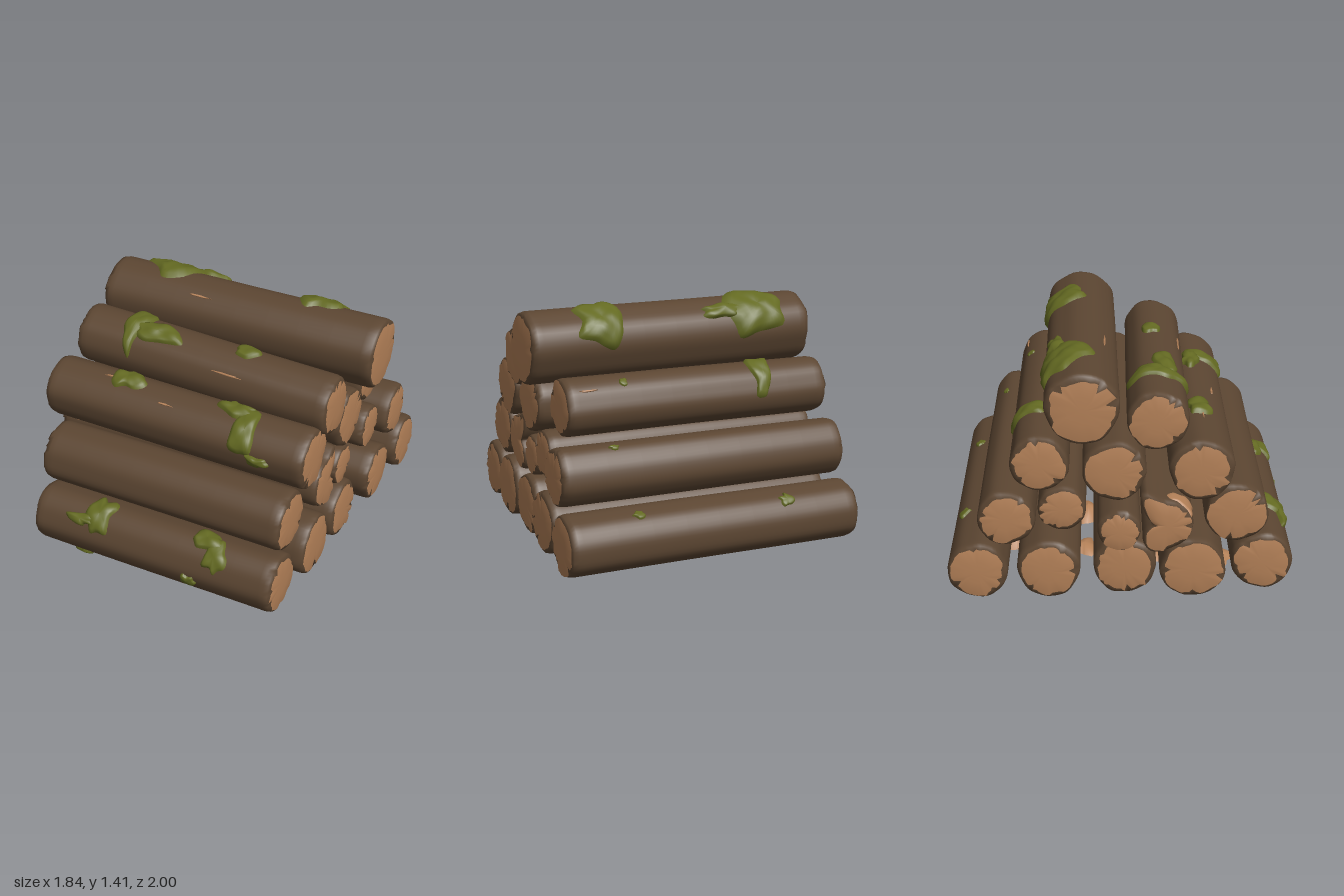
import * as THREE from 'three';

const bark = new THREE.MeshStandardMaterial({ color: 0x5c4632 });
const wood = new THREE.MeshStandardMaterial({ color: 0xb48158 });
const moss = new THREE.MeshStandardMaterial({ color: 0x646a22 });
bark.name = 'bark'; wood.name = 'cut wood'; moss.name = 'moss';

const RAD = Math.PI / 180;

function seeded(seed) {
  let s = seed * 7919 + 17;
  return () => (s = (s * 16807) % 2147483647) / 2147483647;
}

// each log: centre z, centre y, radius, left end x, right end x
const LOGS = [
  [0.81, 0.185, 0.177, -0.77, 0.785],
  [0.405, 0.185, 0.188, -0.84, 0.82],
  [0.015, 0.18, 0.18, -0.8, 0.83],
  [-0.415, 0.195, 0.18, -0.86, 0.88],
  [-0.82, 0.185, 0.172, -0.855, 0.908],
  [0.65, 0.51, 0.18, -0.78, 0.765],
  [0.25, 0.52, 0.15, -0.92, 0.8],
  [-0.015, 0.48, 0.122, -0.92, 0.8],
  [-0.335, 0.575, 0.135, -0.83, 0.84],
  [-0.65, 0.525, 0.163, -0.855, 0.89],
  [0.44, 0.82, 0.18, -0.875, 0.8],
  [-0.04, 0.81, 0.178, -0.84, 0.82],
  [-0.455, 0.86, 0.164, -0.84, 0.78],
  [0.205, 1.065, 0.172, -0.79, 0.825],
  [-0.225, 1.175, 0.207, -0.83, 0.92],
].map(([z, y, r, x0, x1], id) => ({ id, z, y, r, x0, x1, dy: 0, dz: 0 }));
const SPLIT = 6;

// the upper logs lie slightly askew
LOGS[10].dy = -0.012;
Object.assign(LOGS[13], { dy: -0.035, dz: 0.01 });
Object.assign(LOGS[14], { dy: -0.008, dz: -0.012 });

// radius at an angle measured from straight up towards +z
function radiusAt(log, x, a) {
  if (log.id === SPLIT) {
    // hollow on the back face between two sharp ridges
    const swell = (at, width) => {
      const d = ((a / RAD - at + 900) % 360) - 180;
      return Math.exp(-((d / width) ** 2));
    };
    return 0.147 - 0.07 * swell(-88, 22) + 0.085 * swell(-36, 17) + 0.048 * swell(-150, 28);
  }
  const p = log.id * 1.7;
  return log.r * (1 + 0.018 * Math.sin(3 * a + p) + 0.014 * Math.sin(5 * a - p)
    + 0.008 * Math.sin(9 * a + 2 * p) + 0.006 * Math.sin(4 * x + p + a));
}

function pointOn(log, x, a, scale = 1, lift = 0, floor = 0.01) {
  const r = radiusAt(log, x, a) * scale + lift;
  return [x, Math.max(floor, log.y + log.dy * x + r * Math.cos(a)), log.z + log.dz * x + r * Math.sin(a)];
}

function build(positions, index) {
  const g = new THREE.BufferGeometry();
  g.setAttribute('position', new THREE.Float32BufferAttribute(positions, 3));
  g.setIndex(index);
  g.computeVertexNormals();
  return g;
}

// log skinned from the left end centre to the right end centre, with ragged bark round the cut
function makeLog(log) {
  const N = 48, rnd = seeded(log.id + 3);
  const ragged = () => {
    const edge = [];
    let v = 0.88;
    for (let j = 0; j < N; j++) {
      if (rnd() < 0.35) v = 0.8 + rnd() * 0.15;
      edge.push(v + (rnd() - 0.5) * 0.03);
    }
    for (let k = 0; k < 3; k++) edge[Math.floor(rnd() * N)] = 0.6 + rnd() * 0.15;
    return edge;
  };
  const end = (x, s) => {
    const e = ragged();
    return [
      { x: x + s * 0.002, f: () => 0 }, { x: x + s * 0.002, f: () => 0.4 },
      { x: x - s * 0.003, f: j => e[j] }, { x: x - s * 0.014, f: () => 0.965 }, { x: x - s * 0.04, f: () => 1 },
    ];
  };
  const mids = [];
  for (let i = 0; i <= 8; i++) mids.push({ x: THREE.MathUtils.lerp(log.x0 + 0.07, log.x1 - 0.07, i / 8), f: () => 1 });
  const rings = [...end(log.x0, -1), ...mids, ...end(log.x1, 1).reverse()];
  const pos = [], barkIdx = [], woodIdx = [];
  rings.forEach((ring, i) => {
    for (let j = 0; j < N; j++) pos.push(...pointOn(log, ring.x, (j / N) * 2 * Math.PI, ring.f(j)));
    if (!i) return;
    const target = i <= 2 || i >= rings.length - 2 ? woodIdx : barkIdx;
    for (let j = 0; j < N; j++) {
      const a = (i - 1) * N + j, b = (i - 1) * N + (j + 1) % N;
      target.push(a, b, a + N, b, b + N, a + N);
    }
  });
  const g = build(pos, [...barkIdx, ...woodIdx]);
  g.addGroup(0, barkIdx.length, 0);
  g.addGroup(barkIdx.length, woodIdx.length, 1);
  const mesh = new THREE.Mesh(g, [bark, wood]);
  mesh.name = log.id === SPLIT ? 'splitLog' : 'log';
  return mesh;
}

// raised ragged patch wrapped over a log: centre x and angle, half length and half angle in degrees
function makePatch([id, x, angle, w, h], height, material, name) {
  const log = LOGS[id], N = 44, R = 7, LOBES = 13;
  const rnd = seeded(id * 31 + Math.round((x + 1) * 100));
  const lobes = [];
  for (let k = 0; k < LOBES; k++) {
    const t = (-k / LOBES) * 2 * Math.PI, m = 0.7 + rnd() * 0.5;
    lobes.push(new THREE.Vector3(w * m * Math.cos(t), h * RAD * m * Math.sin(t), 0));
  }
  const rim = new THREE.CatmullRomCurve3(lobes, true).getPoints(N);
  const pos = [], idx = [];
  for (let i = 0; i <= R; i++) {
    const t = i / R;
    for (let j = 0; j < N; j++) {
      const u = x + rim[j].x * t, a = angle * RAD + rim[j].y * t;
      const bump = 0.8 + 0.2 * Math.sin(u * 45 + id) * Math.cos(a * 9);
      const lift = i === R ? -0.004 : 0.004 + height * bump * Math.sqrt(1 - t * t);
      pos.push(...pointOn(log, u, a, 1, lift, 0.001));
      if (i) {
        const p = (i - 1) * N + j, q = (i - 1) * N + (j + 1) % N;
        idx.push(p, p + N, q, q, p + N, q + N);
      }
    }
  }
  const mesh = new THREE.Mesh(build(pos, idx), material);
  mesh.name = name;
  return mesh;
}

// moss: log, x, angle, half length, half angle
const MOSS = [
  [14, -0.5, -40, 0.19, 60], [14, -0.28, -45, 0.14, 15], [14, 0.49, -42, 0.15, 58],
  [13, -0.45, 5, 0.085, 72], [13, -0.29, 18, 0.18, 26], [13, 0.26, -5, 0.075, 21],
  [10, -0.39, 3, 0.11, 25], [10, 0.31, 0, 0.12, 20], [10, 0.42, 38, 0.08, 55], [10, 0.52, 88, 0.08, 11],
  [0, -0.34, 32, 0.085, 40], [0, -0.45, 50, 0.1, 12], [0, 0.34, 14, 0.12, 23], [0, 0.42, 40, 0.07, 32],
  [0, 0.27, 107, 0.05, 15], [0, -0.47, 155, 0.07, 14], [1, -0.3, 140, 0.09, 16], [3, 0.25, 145, 0.1, 18],
  [12, -0.43, -40, 0.07, 64], [12, 0.43, -35, 0.025, 10], [9, 0.56, -25, 0.03, 7],
  [4, -0.41, -40, 0.045, 16], [4, 0.49, -28, 0.035, 12],
];

// bare wood showing through the bark
const BARE = [
  [SPLIT, -0.845, 42, 0.07, 38],
  [10, -0.47, 8, 0.08, 2], [10, -0.1, 35, 0.05, 2], [13, 0.2, 58, 0.1, 2], [14, -0.2, 40, 0.08, 2], [12, 0.65, -48, 0.06, 2],
];

// loose flake of wood lying between two bottom logs
function makeFlake(x, z, w, h) {
  const g = new THREE.SphereGeometry(1, 14, 6, 0, Math.PI * 2, 0, Math.PI / 2);
  const p = g.attributes.position;
  for (let i = 0; i < p.count; i++) {
    const a = Math.atan2(p.getZ(i), p.getX(i));
    const k = 1 + 0.18 * Math.sin(3 * a + x * 20) + 0.1 * Math.sin(5 * a);
    p.setXYZ(i, p.getX(i) * k * w, p.getY(i) ** 2 * h, p.getZ(i) * k * 0.085);
  }
  g.computeVertexNormals();
  const mesh = new THREE.Mesh(g, wood);
  mesh.position.set(x, 0.002, z);
  mesh.name = 'woodFlake';
  return mesh;
}

export function createModel() {
  const model = new THREE.Group();
  model.name = 'logPile';
  LOGS.forEach(log => model.add(makeLog(log)));
  MOSS.forEach(m => model.add(makePatch(m, Math.min(0.035, m[3] * 0.35), moss, 'mossPatch')));
  BARE.forEach(b => model.add(makePatch(b, 0.004, wood, 'bareWood')));
  // worn strips under the bottom row
  for (let id = 0; id < 4; id++) {
    model.add(makePatch([id, 0.02 + id * 0.02, 180, 0.6, 28], 0.008, wood, 'wornUnderside'));
  }
  // two flakes in each gap of the bottom row
  [0.61, 0.21, -0.2, -0.61].forEach((z, i) => {
    model.add(makeFlake(0.3 - i * 0.08, z, 0.14, 0.04 + i * 0.015));
    model.add(makeFlake(-0.4 + i * 0.06, z - 0.02, 0.1, 0.04 + (i % 2) * 0.03));
  });
  return model;
}
